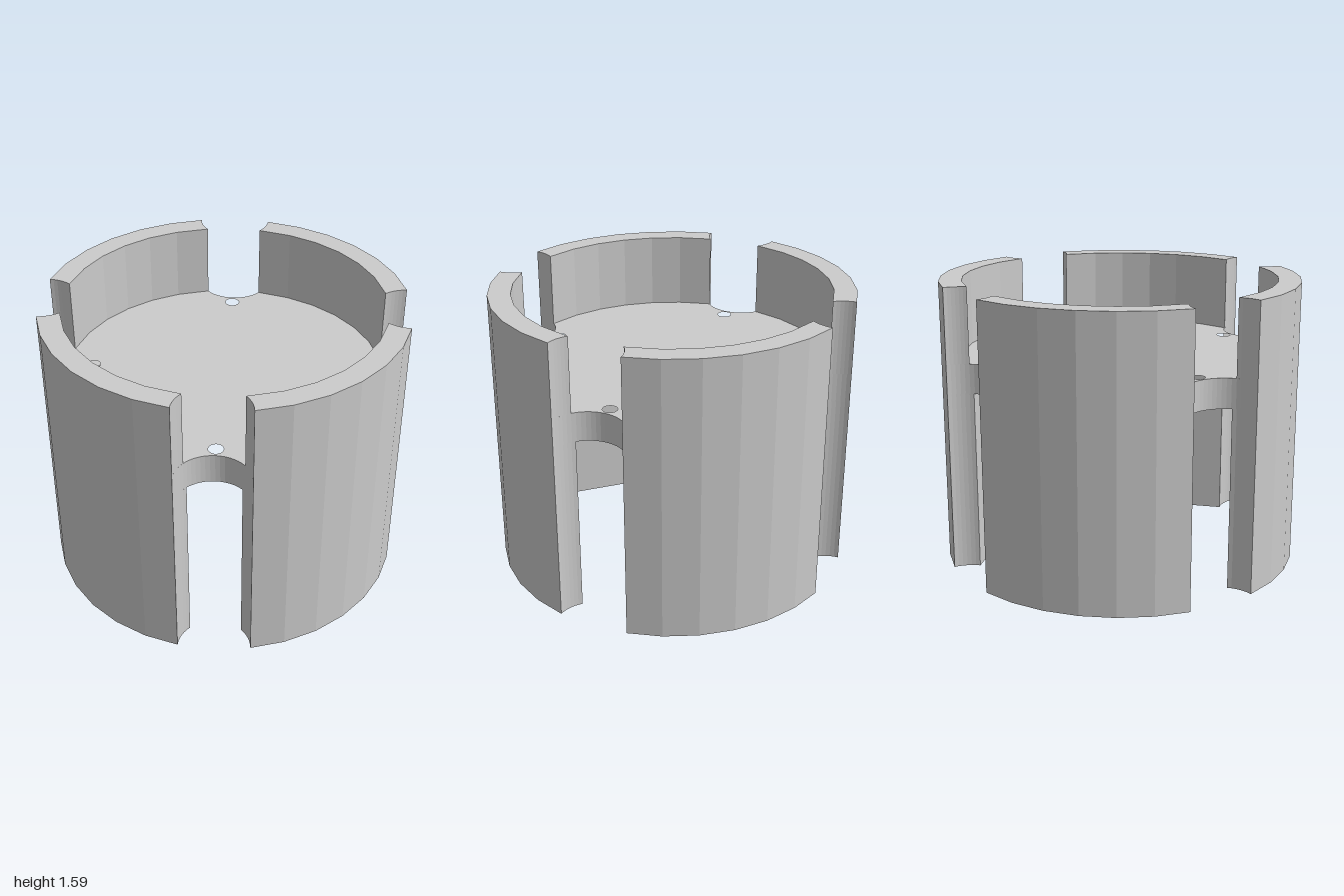
import * as THREE from 'three';

const DEG = Math.PI / 180;
const NOTCH = 0.7, NOTCH_R = 0.2;      // corner notch centre and radius
const CORNER = 33.5;                    // angle where the outer wall meets a notch
const INNER_R = 0.875, FLAT = 0.7;      // rim inner radius, leg inner flat
const LEG_TOP = 1.005, PLATE_TOP = 1.17, TOP = 1.59, SLOT = 0.85;

const mat = new THREE.MeshStandardMaterial({ color: 0xcccccc, flatShading: true });

const vec = (x, y) => new THREE.Vector2(x, y);
const mirror = pts => pts.map(p => vec(-p.x, p.y)).reverse();

// Arc measured clockwise from +y, with vertices on a 32-sided grid plus both ends
function facetArc(radius, end) {
  const pts = [-end, -22.5, -11.25, 0, 11.25, 22.5, end];
  return pts.map(a => vec(radius * Math.sin(a * DEG), radius * Math.cos(a * DEG)));
}

// Arc of the round corner notch, angles in degrees
function notchArc(from, to, steps) {
  const pts = [];
  for (let i = 1; i <= steps; i++) {
    const a = (from + (to - from) * i / steps) * DEG;
    pts.push(vec(NOTCH + NOTCH_R * Math.cos(a), NOTCH + NOTCH_R * Math.sin(a)));
  }
  return pts;
}

// Extrudes a plan outline upwards from y0 to y1
function slab(name, pts, y0, y1, holes = []) {
  const shape = new THREE.Shape(pts);
  shape.holes.push(...holes);
  const geo = new THREE.ExtrudeGeometry(shape, { depth: y1 - y0, bevelEnabled: false, curveSegments: 20 });
  geo.rotateX(-Math.PI / 2);
  geo.translate(0, y0, 0);
  const mesh = new THREE.Mesh(geo, mat);
  mesh.name = name;
  return mesh;
}

export function createModel() {
  const group = new THREE.Group();
  group.name = 'notchedHousing';

  const outer = facetArc(1, CORNER);
  const legEnd = notchArc(138, 180, 6);
  const rimEnd = notchArc(138, 174.5, 6);

  // Plate across the middle with four notches and four screw holes
  const plate = [], holes = [];
  for (let k = 0; k < 4; k++) {
    const a = -k * Math.PI / 2, o = vec(0, 0);
    for (const p of [...outer, ...notchArc(138, 312, 24).slice(0, -1)])
      plate.push(p.clone().rotateAround(o, a));
    const c = vec(0.52, 0.52).rotateAround(o, a);
    holes.push(new THREE.Path().absarc(c.x, c.y, 0.04, 0, Math.PI * 2, true));
  }
  group.add(slab('plate', plate, LEG_TOP, PLATE_TOP, holes));

  // Outlines of a rim wall and a flat-backed leg
  const inner = facetArc(INNER_R, 34.8).slice(1, -1).reverse();
  const rim = [...outer, ...rimEnd, ...inner, ...mirror(rimEnd)];
  const leg = [...outer, ...legEnd, ...mirror(legEnd)];

  // Back leg: cable groove in the flat, and a side slot under the plate
  const groove = [];
  for (let i = 0; i <= 10; i++) {
    const a = i * Math.PI / 10;
    groove.push(vec(0.13 * Math.cos(a), FLAT + 0.13 * Math.sin(a)));
  }
  const groovedLeg = [...outer, ...legEnd, ...groove, ...mirror(legEnd)];
  const slottedLeg = [...outer, ...groove.slice(5), ...mirror(legEnd)];

  ['back', 'left', 'front', 'right'].forEach((side, k) => {
    const quarter = new THREE.Group();
    quarter.name = side + 'Wall';
    quarter.add(slab('rim', rim, PLATE_TOP, TOP));
    if (k === 0) {
      quarter.add(slab('groovedLeg', groovedLeg, 0, SLOT));
      quarter.add(slab('slottedLegTop', slottedLeg, SLOT, LEG_TOP));
    } else {
      quarter.add(slab('leg', leg, 0, LEG_TOP));
    }
    quarter.rotation.y = -k * Math.PI / 2;
    group.add(quarter);
  });

  return group;
}
